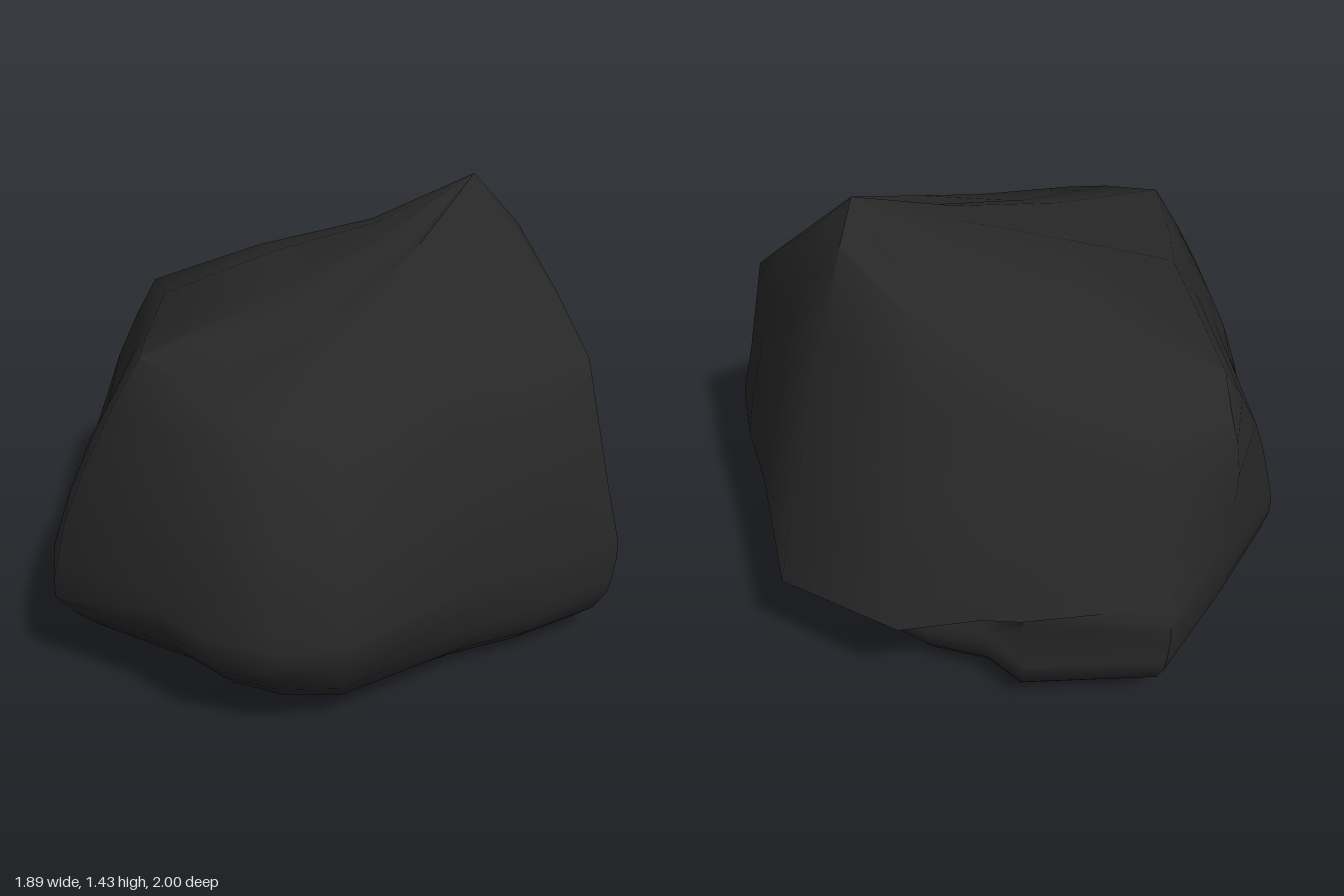
import * as THREE from 'three';
import { toCreasedNormals } from 'three/addons/utils/BufferGeometryUtils.js';

const lerp = THREE.MathUtils.lerp;

// Columns around the boulder: widest point [x, z], shoulder [x, y, z], lean (scale of the
// ring where the flank starts) and, at the back, the hollow under the overhang:
// [ledge scale, inner scale, lip height]
const COLUMNS = [
  { wide: [0.12, -1.0], shoulder: [0.15, 1.35, -0.62], lean: 0.95, hollow: [0.79, 0.62, 0.34] },
  { wide: [0.48, -0.73], shoulder: [0.38, 1.28, -0.53], lean: 0.96, hollow: [0.76, 0.74, 0.4] },
  { wide: [0.71, -0.58], shoulder: [0.6, 1.11, -0.46], lean: 0.97, hollow: [0.96, 0.955, 0.39] },
  { wide: [0.945, -0.39], shoulder: [0.78, 0.96, -0.39], lean: 0.955 },
  { wide: [0.87, -0.12], shoulder: [0.74, 0.94, -0.15], lean: 0.98 },
  { wide: [0.78, 0.12], shoulder: [0.62, 0.97, 0.1], lean: 0.98 },
  { wide: [0.71, 0.66], shoulder: [0.52, 0.9, 0.48], lean: 0.96 },
  { wide: [0.57, 0.82], shoulder: [0.4, 0.93, 0.63], lean: 0.96 },
  { wide: [0.39, 0.9], shoulder: [0.27, 0.98, 0.68], lean: 0.96 },
  { wide: [0.18, 0.9], shoulder: [0.13, 1.02, 0.7], lean: 0.97 },
  { wide: [-0.2, 1.0], shoulder: [-0.07, 1.06, 0.72], lean: 0.95 },
  { wide: [-0.36, 0.88], shoulder: [-0.25, 1.03, 0.54], lean: 0.93 },
  { wide: [-0.5, 0.7], shoulder: [-0.4, 1.07, 0.33], lean: 0.93 },
  { wide: [-0.87, 0.28], shoulder: [-0.78, 0.95, 0.05], lean: 0.95 },
  { wide: [-0.9, -0.03], shoulder: [-0.86, 0.87, -0.03], lean: 1 },
  { wide: [-0.95, -0.44], shoulder: [-0.73, 0.88, -0.27], lean: 0.91 },
  { wide: [-0.6, -0.71], shoulder: [-0.46, 1.01, -0.48], lean: 0.95, hollow: [0.99, 0.98, 0.38] },
  { wide: [-0.5, -0.78], shoulder: [-0.32, 1.08, -0.54], lean: 0.95, hollow: [0.88, 0.76, 0.38] },
  { wide: [-0.32, -0.95], shoulder: [-0.14, 1.17, -0.6], lean: 0.94, hollow: [0.8, 0.66, 0.36] },
];

// Rounded foot as [height, scale, extra tuck towards the front]
const FOOT = [
  [0.01, 0.6, 0.12], [0.04, 0.86, 0.15], [0.1, 0.94, 0.13], [0.17, 0.98, 0.09], [0.22, 0.99, 0.05],
  [0.3, 1, 0], [0.36, 1, 0],
];

const PEAK = [0.23, 1.43, -0.48];

const footProfile = (z, lean) => [
  ...FOOT.map(([y, s, tuck]) => [y, s - tuck * Math.max(0, z)]),
  [0.42, lerp(1, lean, 0.3)], [0.55, lean],
];

// Ledge, hollow, then the overhanging lip, as [height, scale]
const hollowProfile = ([ledge, inner, lip], lean) => [
  [0.01, ledge * 0.75], [0.05, ledge * 0.93], [0.1, ledge * 0.98], [0.17, ledge], [0.2, ledge * 0.98],
  [0.35, inner], [0.39, lerp(inner, 1, 0.3)], [lip, 1], [0.55, lean],
];

// One column from the ground up to just below the peak
function columnPoints({ wide: [x, z], shoulder, lean, hollow }) {
  const profile = hollow ? hollowProfile(hollow, lean) : footProfile(z, lean);
  const points = profile.map(([y, s]) => [x * s, y, z * s]);

  // flank, bulging slightly except at the back
  const top = points[points.length - 1];
  const bulge = z < -0.3 ? 0 : 0.025;
  for (const t of [0.35, 0.7, 1]) {
    const k = 1 + bulge * Math.sin(Math.PI * t);
    points.push([lerp(top[0], shoulder[0], t) * k, lerp(top[1], shoulder[1], t), lerp(top[2], shoulder[2], t) * k]);
  }
  // slope to the peak, sagging on the left and most of all on the front
  const left = shoulder[0] < -0.3;
  const front = !left && shoulder[0] < 0.3 && shoulder[2] > 0;
  for (const [t, sag] of [[0.35, front ? 0.04 : 0], [0.7, front || left ? 0.04 : 0]]) {
    points.push(shoulder.map((v, i) => lerp(v, PEAK[i], t) - (i === 1 ? sag : 0)));
  }
  return points;
}

function boulderGeometry() {
  const columns = COLUMNS.map(columnPoints);
  const n = columns.length;
  const rows = columns[0].length;
  const positions = columns.flat(2);
  const base = n * rows;
  const peak = base + 1;
  positions.push(0, 0, 0, ...PEAK);

  const index = [];
  for (let j = 0; j < n; j++) {
    const a = j * rows;
    const b = ((j + 1) % n) * rows;
    for (let i = 0; i < rows - 1; i++) {
      index.push(a + i, a + i + 1, b + i, b + i, a + i + 1, b + i + 1);
    }
    index.push(base, a, b, peak, b + rows - 1, a + rows - 1);
  }

  const geometry = new THREE.BufferGeometry();
  geometry.setAttribute('position', new THREE.Float32BufferAttribute(positions, 3));
  geometry.setIndex(index);
  return toCreasedNormals(geometry, 0.95);
}

export function createModel() {
  const group = new THREE.Group();
  group.name = 'rock';
  const boulder = new THREE.Mesh(boulderGeometry(), new THREE.MeshStandardMaterial({ color: 0x272727 }));
  boulder.name = 'boulder';
  group.add(boulder);
  return group;
}
